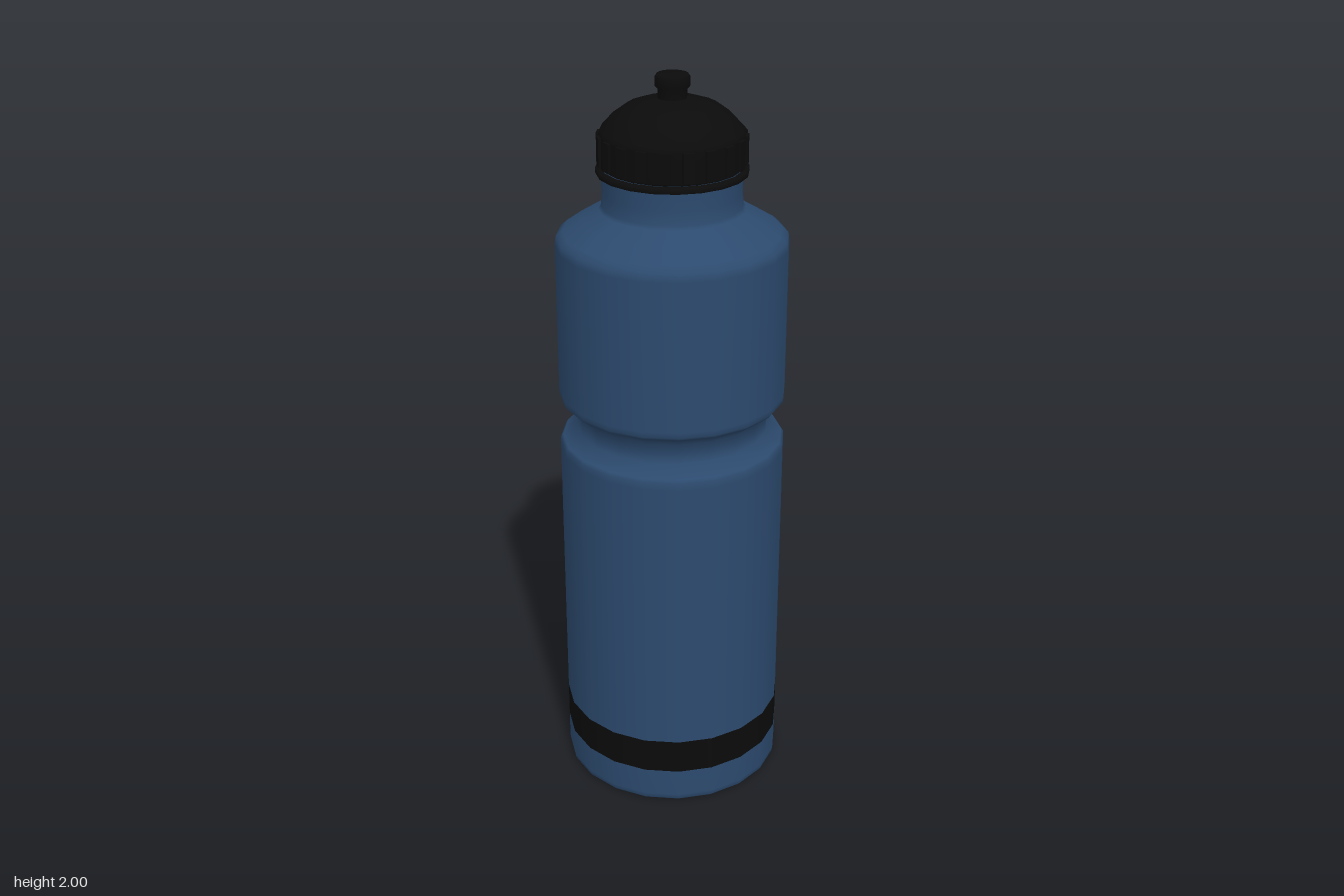
import * as THREE from 'three';

const SIDES = 20;

export function createModel() {
  const model = new THREE.Group();
  const blue = new THREE.MeshStandardMaterial({ color: 0x2c4a6e, side: THREE.DoubleSide });
  const black = new THREE.MeshStandardMaterial({ color: 0x0b0b0b, side: THREE.DoubleSide });

  const add = (name, geometry, material, parent = model) => {
    const mesh = new THREE.Mesh(geometry, material);
    mesh.name = name;
    parent.add(mesh);
    return mesh;
  };
  // Turned part from [radius, height] pairs, listed from bottom to top
  const turned = (name, profile, material, parent) =>
    add(name, new THREE.LatheGeometry(profile.map(([r, y]) => new THREE.Vector2(r, y)), SIDES), material, parent);

  // Flat base
  const base = add('base', new THREE.CircleGeometry(0.297, SIDES), blue);
  base.rotation.x = Math.PI / 2;

  // Bottle with a grip groove, sloping shoulder and neck
  turned('lowerBody', [[0.297, 0], [0.303, 0.006], [0.305, 0.02], [0.305, 0.1]], blue);
  turned('stripe', [[0.305, 0.1], [0.305, 0.2]], black);
  turned('body', [
    [0.305, 0.2], [0.305, 0.99], [0.304, 1.01], [0.298, 1.018], [0.258, 1.045],
    [0.258, 1.1], [0.298, 1.132], [0.304, 1.14], [0.305, 1.155],
    [0.305, 1.56], [0.302, 1.582], [0.285, 1.597], [0.235, 1.628], [0.19, 1.655],
    [0.183, 1.665], [0.181, 1.7], [0.183, 1.745],
  ], blue);
  turned('neckFlange', [[0.183, 1.745], [0.196, 1.749]], blue);
  turned('sealRing', [[0.196, 1.749], [0.197, 1.752], [0.197, 1.763], [0.183, 1.765]], black);

  // Screw cap with a domed top
  const cap = new THREE.Group();
  cap.name = 'cap';
  model.add(cap);
  turned('capSkirt', [[0.18, 1.765], [0.189, 1.772], [0.187, 1.85]], black, cap);
  turned('capDome', [
    [0.187, 1.85], [0.184, 1.862], [0.155, 1.893], [0.118, 1.92], [0.08, 1.933], [0.035, 1.94],
  ], black, cap);

  // Grip ribs around the cap
  for (let i = 0; i < SIDES; i++) {
    const angle = ((i + 0.5) / SIDES) * Math.PI * 2;
    const rib = add('gripRib', new THREE.BoxGeometry(0.03, 0.075, 0.012), black, cap);
    rib.position.set(Math.sin(angle) * 0.187, 1.812, Math.cos(angle) * 0.187);
    rib.rotation.y = angle;
  }

  // Pull spout with a wider lip
  turned('spout', [
    [0.037, 1.93], [0.037, 1.962], [0.045, 1.97], [0.045, 1.992], [0.04, 2], [0, 2],
  ], black, cap);

  return model;
}
